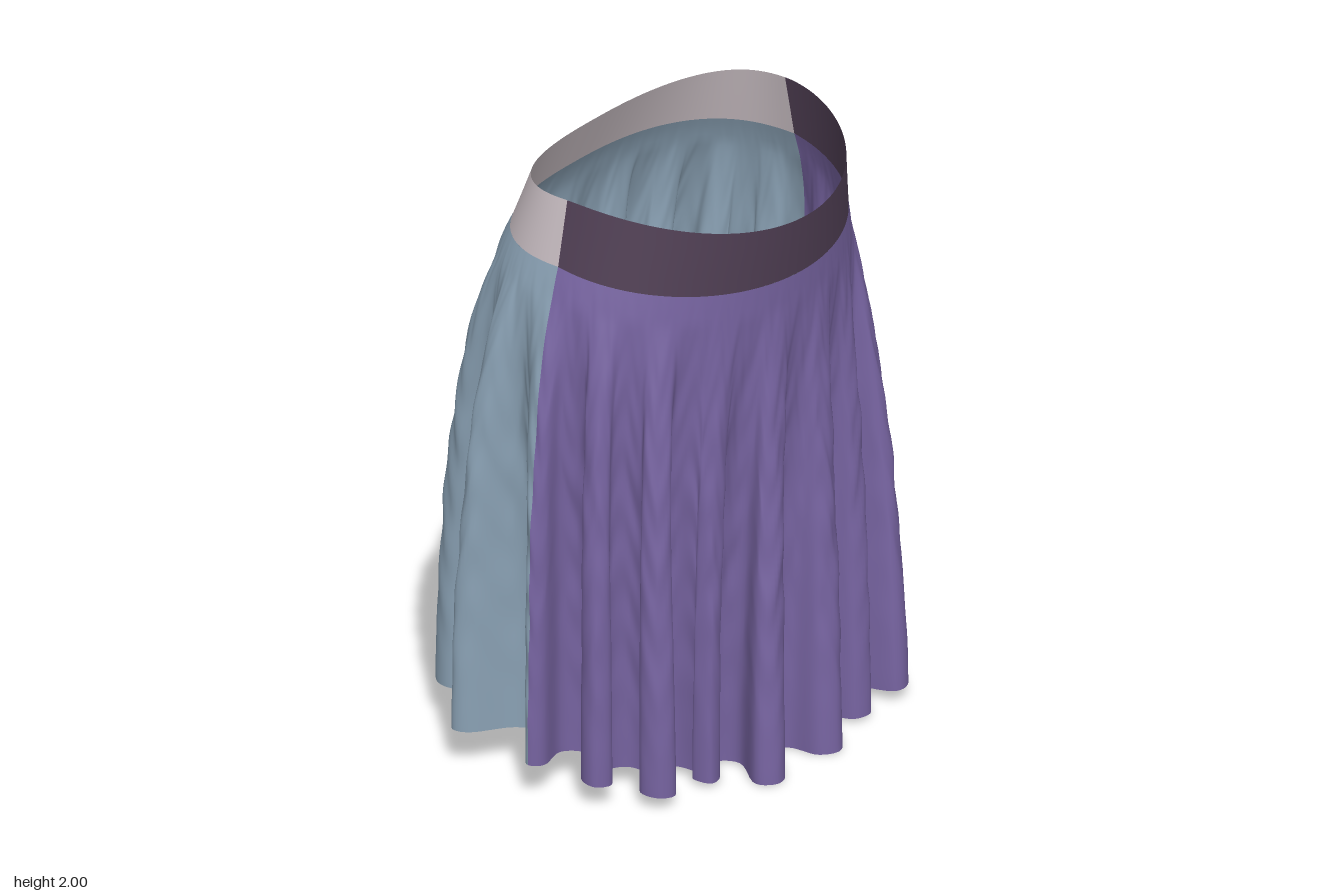
import * as THREE from 'three';

const mat = (name, color) => {
  const m = new THREE.MeshStandardMaterial({ color, side: THREE.DoubleSide });
  m.name = name;
  return m;
};

// Closed oval: angle 0 is +x, PI/2 is the front (+z); front and back differ in depth
function oval(th, a, front, back, nFront, nBack) {
  const c = Math.cos(th), s = Math.sin(th);
  const e = 2 / (s > 0 ? nFront : nBack);
  const p = (v) => Math.sign(v) * Math.pow(Math.abs(v), e);
  return [a * p(c) - 0.006, (s > 0 ? front : back) * p(s)];
}

// Waistband rims
function bandTop(th) {
  const s = Math.sin(th), [x, z] = oval(th, 0.565, 0.52, 0.325, 2, 2.5);
  return [x, s > 0 ? 1.995 - 0.115 * Math.pow(s, 1.5) : 1.995 - 0.025 * s * s, z];
}
function bandBottom(th) {
  const s = Math.sin(th), [x, z] = oval(th, 0.613, 0.5, 0.4, 2, 2.5);
  return [x, s > 0 ? 1.78 - 0.1 * s : 1.78 - 0.02 * s, z];
}

// Outermost point of every fold at the hem (x, z, half width), starting at the left seam
const foldTips = [
  [0.81, -0.14, 0.035], [0.78, 0.1, 0.05], [0.52, 0.52, 0.055], [0.32, 0.525, 0.055],
  [0.06, 0.6, 0.06], [-0.25, 0.59, 0.058], [-0.4, 0.44, 0.045], [-0.63, 0.41, 0.058],
  [-0.75, 0.24, 0.05], [-0.815, 0.03, 0.035], [-0.765, -0.31, 0.045], [-0.51, -0.57, 0.07],
  [-0.34, -0.555, 0.065], [-0.13, -0.585, 0.06], [0.14, -0.575, 0.06], [0.34, -0.605, 0.065],
  [0.55, -0.56, 0.074], [0.645, -0.32, 0.05],
];

// Hem line: rounded loops alternating between fold tips and valleys
function makeHem() {
  const pts = [], n = foldTips.length;
  const outward = (x, z) => new THREE.Vector2(x, z * 1.4).normalize();
  const addLoop = (x, z, w, inset) => {
    const o = outward(x, z);
    for (const k of [-1, 0, 1]) {
      const d = k ? inset : 0;
      pts.push(new THREE.Vector3(x - o.y * w * k - o.x * d, 0, z + o.x * w * k - o.y * d));
    }
  };
  foldTips.forEach(([x, z, w], i) => {
    const [x2, z2] = foldTips[(i + 1) % n];
    addLoop(x, z, w, 0.045);
    const mx = (x + x2) / 2, mz = (z + z2) / 2, o = outward(mx, mz);
    const wv = Math.min(0.066, 0.31 * Math.hypot(x2 - x, z2 - z));
    addLoop(mx - o.x * 0.19, mz - o.y * 0.19, wv, -0.045);
  });
  const curve = new THREE.CatmullRomCurve3(pts, true, 'catmullrom', 0.5);
  return (th) => curve.getPoint((th / (Math.PI * 2) + 1 / pts.length) % 1);
}

// Skirt cloth: a smooth yoke flares from the waist, then folds deepen toward the hem
function makeCloth() {
  const hem = makeHem();
  return (th, v) => {
    const s = Math.sin(th), w = bandBottom(th), h = hem(th);
    const [mx, mz] = oval(th, 0.715, 0.49, 0.49, 2.2, 2.5);
    const flare = 1 - Math.pow(1 - v, 6 - 4 * s);
    const drop = Math.max(0, (v - 0.06) / 0.94);
    const fold = 1 - Math.pow(1 - drop, s > 0 ? 1.9 - 0.7 * s : 1.9);
    const hemY = 0.12 - (s > 0 ? 0.12 : 0.025) * s;
    // slight upright crinkling of the cloth
    const y = w[1] + (hemY - w[1]) * v;
    const crinkle = Math.sin(Math.PI * v) * (0.003 * Math.sin(th * 62 + 2 * Math.sin(y * 9))
      + 0.0025 * Math.sin(y * 29 + 3 * Math.sin(th * 47)));
    const x = w[0] + (mx - w[0]) * flare + (h.x - mx) * fold;
    const z = w[2] + (mz - w[2]) * flare + (h.z - mz) * fold;
    return [x + Math.cos(th) * crinkle, y, z + s * crinkle];
  };
}

// Smooth sheet over an angle range, rows running downward
function sheet(name, material, point, th0, th1, cols, rows) {
  const pos = [], idx = [];
  for (let r = 0; r <= rows; r++) {
    for (let c = 0; c <= cols; c++) {
      pos.push(...point(th0 + ((th1 - th0) * c) / cols, r / rows));
      if (r < rows && c < cols) {
        const a = r * (cols + 1) + c, b = a + cols + 1;
        idx.push(a, a + 1, b, a + 1, b + 1, b);
      }
    }
  }
  const g = new THREE.BufferGeometry();
  g.setAttribute('position', new THREE.Float32BufferAttribute(pos, 3));
  g.setIndex(idx);
  g.computeVertexNormals();
  const mesh = new THREE.Mesh(g, material);
  mesh.name = name;
  return mesh;
}

export function createModel() {
  const group = new THREE.Group();
  group.name = 'skirt';
  const cloth = makeCloth();
  const band = (th, v) => {
    const a = bandTop(th), b = bandBottom(th);
    return a.map((p, i) => p + (b[i] - p) * v);
  };
  const P = Math.PI;
  group.add(
    sheet('frontPanel', mat('purple cloth', 0x7663a0), cloth, 0, P, 288, 72),
    sheet('backPanel', mat('blue grey cloth', 0x8aa1b4), cloth, P, 2 * P, 288, 72),
    sheet('frontWaistband', mat('dark plum', 0x503f54), band, 0, P, 64, 4),
    sheet('backWaistband', mat('pale grey', 0xcbc0c5), band, P, 2 * P, 64, 4),
  );
  return group;
}
